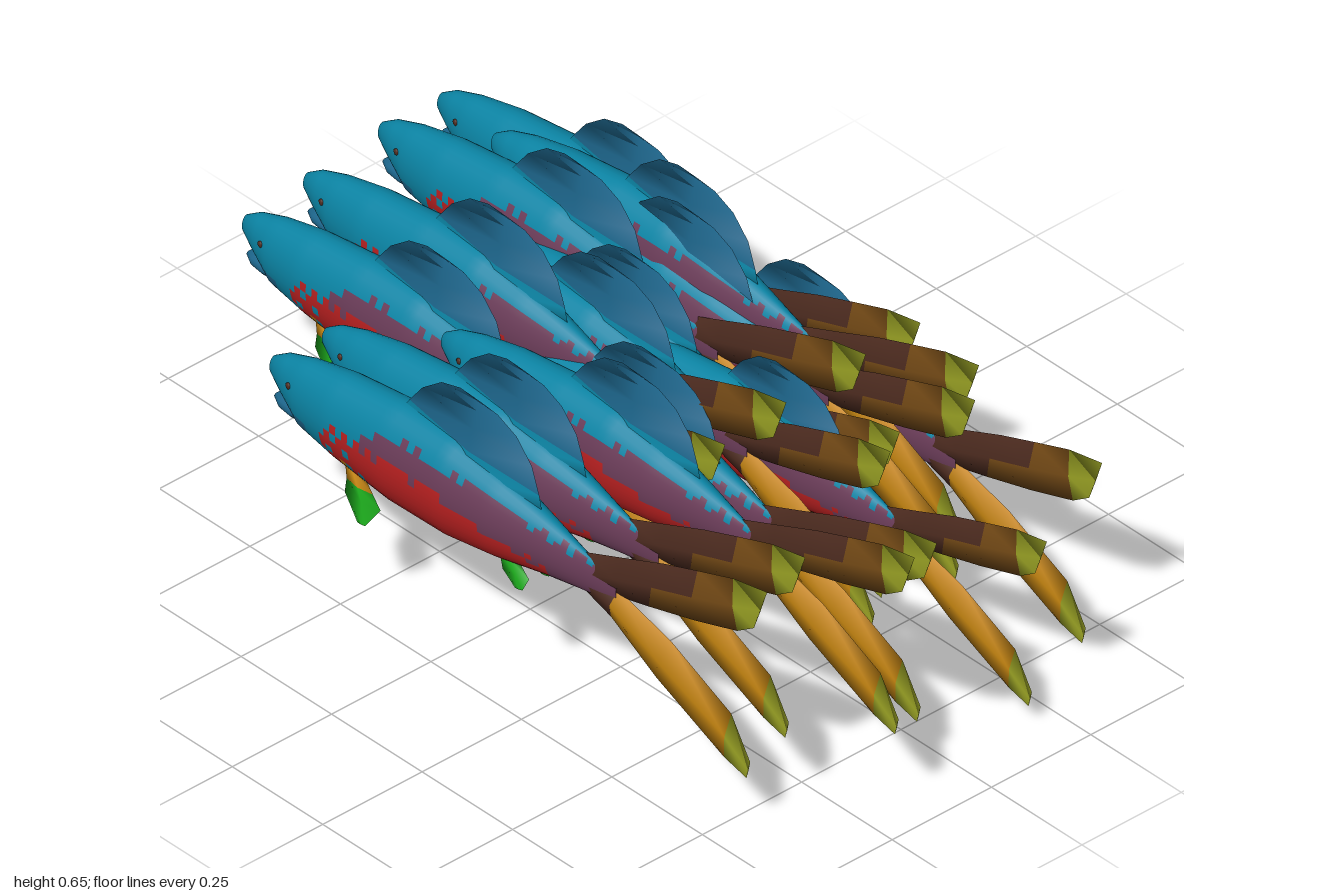
import * as THREE from 'three';

const COLOURS = {
  teal: 0x0b84a4, finBlue: 0x1d668c, purple: 0x6a3c58, red: 0xb82020, green: 0x1ca81c,
  orange: 0xc48410, darkBrown: 0x4e2c20, brown: 0x744a16, olive: 0x98a024,
};
const NAMES = Object.keys(COLOURS);

// Joins equal-sized rings of points; pick(row, side, centre) names each quad's colour.
function loft(rings, pick, mats) {
  const n = rings[0].length;
  const faces = {};
  const centre = new THREE.Vector3();
  for (let i = 0; i < rings.length - 1; i++) {
    for (let k = 0; k < n; k++) {
      const k2 = (k + 1) % n;
      const a = i * n + k, b = i * n + k2, c = a + n, d = b + n;
      centre.copy(rings[i][k]).add(rings[i + 1][k2]).multiplyScalar(0.5);
      const name = pick(i, k, centre);
      (faces[name] ??= []).push(a, b, c, b, d, c);
    }
  }
  const geo = new THREE.BufferGeometry().setFromPoints(rings.flat());
  const index = [], used = [];
  for (const name of Object.keys(faces)) {
    geo.addGroup(index.length, faces[name].length, used.length);
    index.push(...faces[name]);
    used.push(mats[name]);
  }
  geo.setIndex(index);
  geo.computeVertexNormals();
  return { geo, used };
}

// Distance from nose, half width, top, bottom
const PROFILE = [
  [0, 0.001, 0.012, 0.008], [0.006, 0.012, 0.028, -0.012], [0.04, 0.026, 0.05, -0.035],
  [0.1, 0.043, 0.07, -0.08], [0.2, 0.059, 0.09, -0.093], [0.35, 0.067, 0.108, -0.108],
  [0.5, 0.067, 0.11, -0.105], [0.62, 0.055, 0.087, -0.088], [0.74, 0.033, 0.056, -0.065],
  [0.83, 0.016, 0.032, -0.052], [0.92, 0.006, 0.02, -0.04],
];

function bodyLoft(mats) {
  const rings = [], sides = 32;
  PROFILE.forEach((p, j) => {
    const next = PROFILE[j + 1];
    const steps = next ? Math.max(1, Math.round((next[0] - p[0]) / 0.016)) : 1;
    for (let m = 0; m < steps; m++) {
      const [z, w, top, bot] = p.map((v, q) => next ? v + (next[q] - v) * m / steps : v);
      rings.push(Array.from({ length: sides }, (_, k) => {
        const a = k / sides * Math.PI * 2;
        return new THREE.Vector3(Math.cos(a) * w, (top + bot) / 2 + Math.sin(a) * (top - bot) / 2, z);
      }));
    }
  });
  // Blotchy edges between the back, flank and belly colours, patchy throat
  const pick = (i, k, c) => {
    const s = c.z;
    const blotch = Math.sin(s * 95 + c.y * 50) * Math.sin(c.y * 120 - s * 45 + 1);
    const noise = blotch * 0.018;
    if (s < 0.13) return c.y < -0.03 ? 'finBlue' : 'teal';
    if (s < 0.25 && c.y < -0.055) return blotch > 0.3 ? 'orange' : s < 0.2 + noise ? 'teal' : 'red';
    let backLine = 0.067;
    if (s < 0.4) backLine -= (0.4 - s) * 0.3;
    if (s > 0.6) backLine -= (s - 0.6) * 0.2;
    if (c.y > backLine + noise * 0.6 || s < 0.17 + noise) return 'teal';
    if (s < 0.3 && blotch > 0.35) return 'teal';
    const bellyLine = 0.014 - Math.max(0, s - 0.5) * 0.2;
    return c.y < bellyLine + noise && s < 0.75 + noise ? 'red' : 'purple';
  };
  return loft(rings, pick, mats);
}

// Fin with a diamond section; row: edge A (z, y), edge B (z, y), half thickness, sideways shift,
// colour, and an optional different colour for the half beside edge A
function finLoft(rows, mats) {
  const rings = rows.map(([az, ay, bz, by, t, x]) => [
    new THREE.Vector3(x, ay, az), new THREE.Vector3(x + t, (ay + by) / 2, (az + bz) / 2),
    new THREE.Vector3(x, by, bz), new THREE.Vector3(x - t, (ay + by) / 2, (az + bz) / 2),
  ]);
  return loft(rings, (i, k) => (k % 3 === 0 && rows[i][7]) || rows[i][6], mats);
}

const FINS = {
  dorsalFin: [
    [0.34, 0.085, 0.72, 0.045, 0.034, 0, 'teal'], [0.365, 0.12, 0.71, 0.09, 0.016, 0, 'finBlue'],
    [0.40, 0.165, 0.69, 0.145, 0.011, 0, 'finBlue'], [0.45, 0.203, 0.65, 0.188, 0.006, 0, 'finBlue'],
    [0.50, 0.217, 0.6, 0.21, 0.001, 0, 'finBlue'],
  ],
  upperTailLobe: [
    [0.83, 0.03, 0.84, -0.045, 0.011, 0, 'darkBrown'], [0.93, 0.07, 0.92, -0.02, 0.013, 0, 'darkBrown'],
    [1.04, 0.115, 1.0, 0.0, 0.012, 0, 'brown', 'darkBrown'], [1.13, 0.147, 1.12, 0.033, 0.01, 0, 'brown'],
    [1.225, 0.18, 1.235, 0.07, 0.007, 0, 'olive'], [1.315, 0.197, 1.28, 0.1, 0.001, 0, 'olive'],
  ],
  lowerTailLobe: [
    [0.83, 0.0, 0.83, -0.052, 0.011, 0, 'darkBrown'], [0.92, -0.005, 0.9, -0.075, 0.013, 0, 'orange'],
    [1.06, -0.045, 1.02, -0.145, 0.014, 0, 'orange'], [1.22, -0.12, 1.2, -0.225, 0.008, 0, 'olive'],
    [1.27, -0.2, 1.26, -0.24, 0.001, 0, 'olive'],
  ],
  pectoralFin: [
    [0.23, -0.07, 0.28, -0.075, 0.006, 0.033, 'orange'], [0.245, -0.095, 0.315, -0.095, 0.006, 0.043, 'green'],
    [0.25, -0.118, 0.345, -0.11, 0.004, 0.052, 'green'], [0.30, -0.152, 0.32, -0.15, 0.001, 0.067, 'green'],
  ],
  pelvicFin: [
    [0.62, -0.07, 0.67, -0.065, 0.004, 0.015, 'green'], [0.64, -0.095, 0.71, -0.082, 0.003, 0.025, 'green'],
    [0.68, -0.112, 0.7, -0.108, 0.001, 0.032, 'green'],
  ],
};

// x, height, nose z, size of each fish
const SCHOOL = [
  [-0.435, 0.375, -0.51, 1.04], [-0.335, 0.41, -0.475, 1.01], [-0.195, 0.425, -0.3, 0.99],
  [-0.14, 0.345, -0.91, 1.01], [-0.05, 0.435, -0.84, 1.01], [-0.06, 0.345, -0.4, 1.0],
  [0.1, 0.32, -0.69, 0.99], [0.185, 0.265, -0.26, 0.92], [0.213, 0.27, -0.71, 0.93],
  [0.275, 0.315, -0.99, 1.02], [0.325, 0.318, -0.73, 1.01], [0.35, 0.375, -0.76, 1.02],
  [0.415, 0.32, -0.98, 1.01], [0.435, 0.243, -0.5, 1.01],
];

export function createModel() {
  const mats = {};
  for (const name of NAMES) {
    mats[name] = new THREE.MeshStandardMaterial({ color: COLOURS[name], side: THREE.DoubleSide });
    mats[name].name = name;
  }
  const body = bodyLoft(mats);
  const fins = Object.entries(FINS).map(([name, rows]) => [name, rows, finLoft(rows, mats)]);
  const mirrored = (rows) => rows.map(([a, b, c, d, t, x, col]) => [a, b, c, d, t, -x, col]);
  for (const [name, rows] of fins.slice(3)) fins.push([name, rows, finLoft(mirrored(rows), mats)]);
  const jawGeo = new THREE.SphereGeometry(1, 10, 8).scale(0.024, 0.019, 0.06);
  const eyeGeo = new THREE.SphereGeometry(1, 10, 8).scale(0.004, 0.007, 0.007);

  const school = new THREE.Group();
  school.name = 'schoolOfFish';
  SCHOOL.forEach(([x, y, z, size]) => {
    const fish = new THREE.Group();
    fish.name = 'fish';
    const add = (name, geo, mat, px = 0, py = 0, pz = 0) => {
      const mesh = new THREE.Mesh(geo, mat);
      mesh.name = name;
      mesh.position.set(px, py, pz);
      fish.add(mesh);
    };
    add('body', body.geo, body.used);
    for (const [name, , part] of fins) add(name, part.geo, part.used);
    // Head details
    add('lowerJaw', jawGeo, mats.finBlue, 0, -0.053, 0.07);
    for (const side of [-1, 1]) add('eye', eyeGeo, mats.darkBrown, side * 0.036, 0.018, 0.083);
    fish.position.set(x, y, z);
    fish.scale.setScalar(size);
    school.add(fish);
  });
  return school;
}
